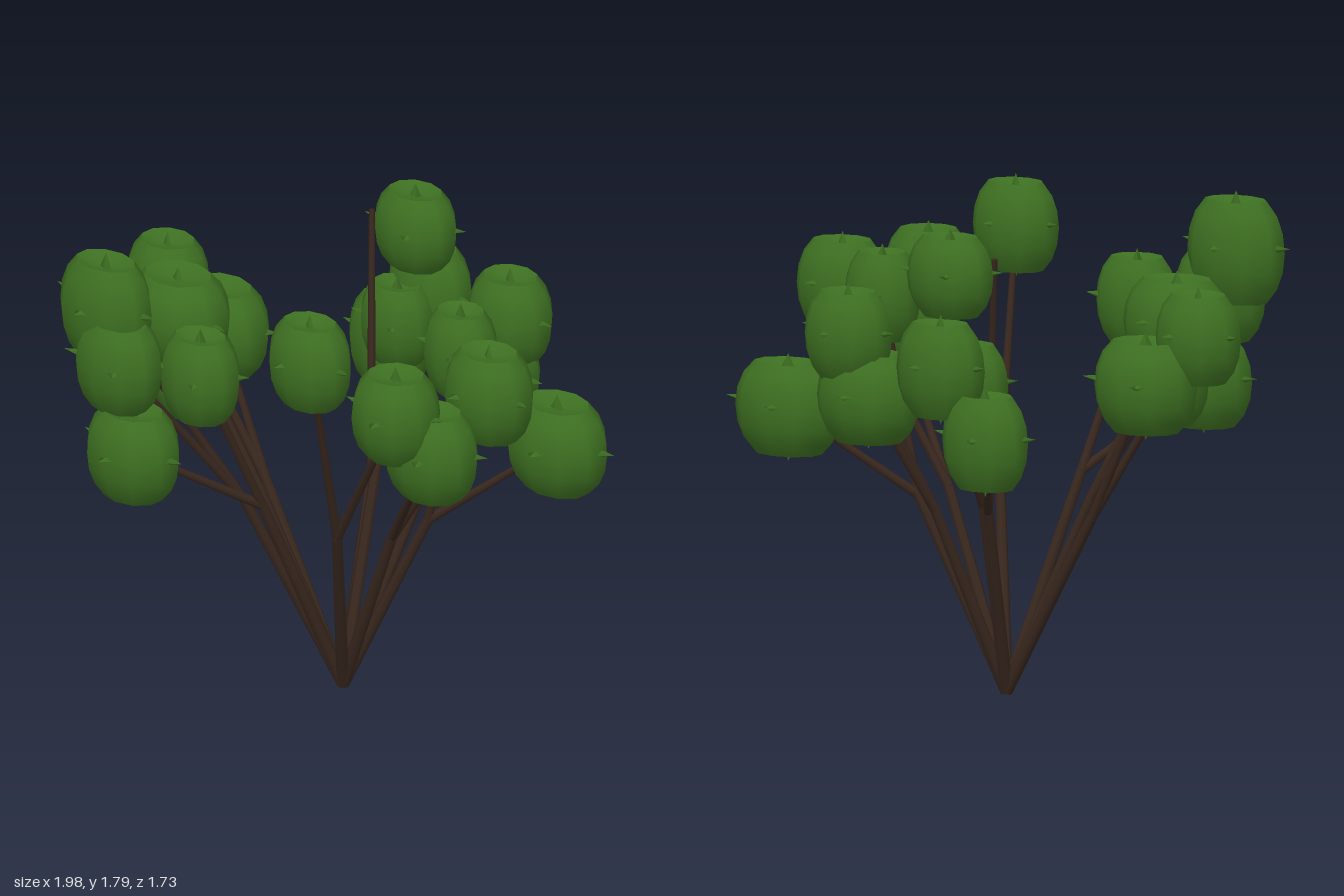
import * as THREE from 'three';
import { mergeGeometries } from 'three/addons/utils/BufferGeometryUtils.js';

const leafGreen = new THREE.MeshStandardMaterial({ color: 0x3d6f21 });
leafGreen.name = 'leafGreen';
const barkBrown = new THREE.MeshStandardMaterial({ color: 0x38271e });
barkBrown.name = 'barkBrown';

const ROOT = new THREE.Vector3(0.02, 0, -0.055);

// Each branch has a fork point and two leaf clusters:
// [x, y, z, half width, half height, half depth]
const BRANCHES = [
  { fork: [0.32, 0.7, -0.18], clusters: [[0.69, 1.02, -0.46, 0.21, 0.165, 0.155], [0.47, 1.41, -0.19, 0.145, 0.16, 0.125]] },
  { fork: [0.33, 0.7, 0.02], clusters: [[0.77, 1.395, -0.02, 0.18, 0.165, 0.145], [0.75, 1.25, 0.26, 0.19, 0.165, 0.15]] },
  { fork: [0.25, 0.74, 0.22], clusters: [[0.66, 1.4, 0.35, 0.17, 0.16, 0.155], [0.39, 1.575, 0.51, 0.17, 0.16, 0.13]] },
  { fork: [-0.09, 0.77, 0.25], clusters: [[-0.14, 1.355, 0.52, 0.16, 0.16, 0.13], [-0.31, 1.06, 0.69, 0.19, 0.165, 0.15]] },
  { fork: [-0.19, 0.76, 0.24], clusters: [[-0.49, 1.555, 0.64, 0.195, 0.185, 0.135], [-0.39, 1.38, 0.68, 0.18, 0.165, 0.135]] },
  { fork: [-0.26, 0.72, 0.08], clusters: [[-0.55, 1.36, 0.2, 0.21, 0.16, 0.17], [-0.5, 1.15, 0.18, 0.18, 0.16, 0.15]] },
  { fork: [-0.37, 0.67, -0.07], clusters: [[-0.63, 1.18, -0.1, 0.2, 0.165, 0.165], [-0.79, 1.355, 0, 0.165, 0.16, 0.14]] },
  { fork: [-0.1, 0.7, -0.33], clusters: [[-0.1, 1.59, -0.56, 0.17, 0.145, 0.13], [-0.35, 1.03, -0.69, 0.17, 0.17, 0.125]] },
  { fork: [-0.07, 0.72, -0.32], clusters: [[-0.16, 1.275, -0.7, 0.175, 0.17, 0.13], [-0.18, 1.2, -0.55, 0.15, 0.15, 0.12]] },
  { fork: [0.15, 0.68, -0.31], clusters: [[0.3, 1.345, -0.63, 0.17, 0.16, 0.14], [0.24, 1.12, -0.59, 0.2, 0.16, 0.165]] },
];

function lathe(points) {
  return new THREE.LatheGeometry(points.map(([r, y]) => new THREE.Vector2(r, y)), 10);
}

// Small flattened leaf tip pointing up, ending at the given height
function leafTip(radius, tip) {
  return new THREE.ConeGeometry(radius, 0.5, 4).scale(1, 1, 0.45).translate(0, tip - 0.25, 0);
}

// Unit leaf cluster: rounded sides, dished ends and six leaf tips
function clusterGeometry(spin) {
  const parts = [
    lathe([[0.63, -1], [0.84, -0.72], [0.96, -0.38], [1, 0], [0.96, 0.38], [0.84, 0.72], [0.63, 1]]),
    lathe([[0.63, 1], [0.38, 0.9], [0, 0.83]]),
    lathe([[0, -0.83], [0.38, -0.9], [0.63, -1]]),
    leafTip(0.22, 1.18).rotateY(spin),
    leafTip(0.22, 1.18).rotateX(Math.PI).rotateY(spin),
  ];
  for (let i = 0; i < 4; i++) {
    parts.push(leafTip(0.26, 1.24).rotateX(Math.PI / 2 - 0.12).rotateY(i * Math.PI / 2 + spin));
  }
  return mergeGeometries(parts);
}

// Tapered straight stem between two points
function stem(name, from, to, r0, r1) {
  const dir = to.clone().sub(from);
  const mesh = new THREE.Mesh(new THREE.CylinderGeometry(r1, r0, dir.length(), 7), barkBrown);
  mesh.name = name;
  mesh.position.copy(from).addScaledVector(dir, 0.5);
  mesh.quaternion.setFromUnitVectors(new THREE.Vector3(0, 1, 0), dir.normalize());
  return mesh;
}

export function createModel() {
  const model = new THREE.Group();
  model.name = 'shrub';

  BRANCHES.forEach(({ fork, clusters }, b) => {
    const branch = new THREE.Group();
    branch.name = `branch${b + 1}`;
    const forkPoint = new THREE.Vector3(...fork);
    branch.add(stem('mainStem', ROOT, forkPoint, 0.024, 0.019));

    clusters.forEach(([x, y, z, rx, ry, rz], i) => {
      const center = new THREE.Vector3(x, y, z);
      // One twig passes beside its cluster and stays exposed
      const end = b === 7 && i === 0 ? new THREE.Vector3(-0.23, 1.65, -0.47) : center;
      branch.add(stem('twig', forkPoint, end, 0.018, 0.011));

      const spin = 0.15 + 0.35 * Math.sin(2.3 * (2 * b + i));
      const cluster = new THREE.Mesh(clusterGeometry(spin), leafGreen);
      cluster.name = 'leafCluster';
      cluster.position.copy(center);
      cluster.scale.set(rx, ry, rz);
      branch.add(cluster);
    });
    model.add(branch);
  });
  return model;
}
